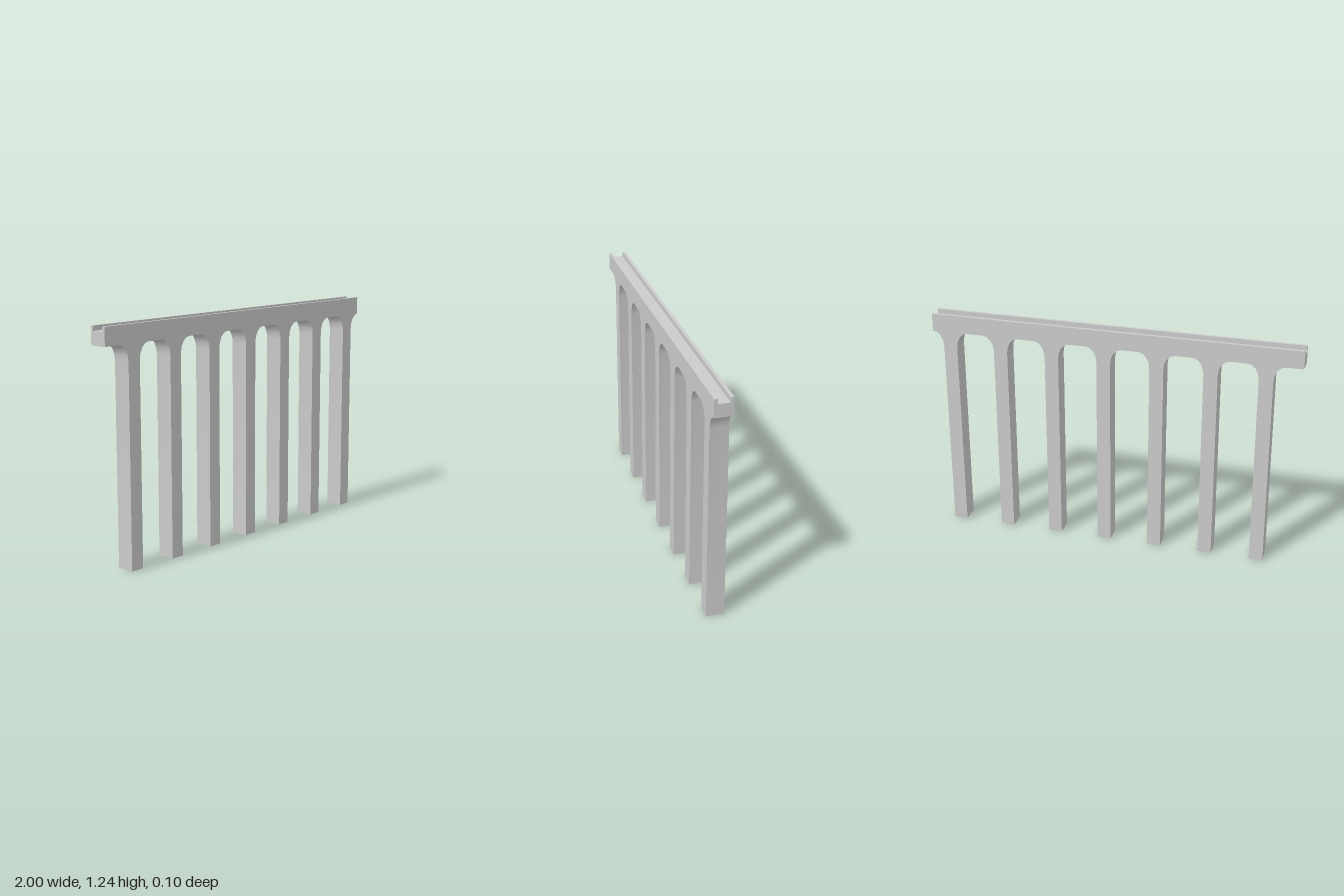
import * as THREE from 'three';
import { toCreasedNormals } from 'three/addons/utils/BufferGeometryUtils.js';

const LENGTH = 2, DEPTH = 0.096;
const UNDERSIDE = 1.14, DECK = 1.21, TOP = 1.236;
const PIERS = 7, SPACING = 0.2857, FIRST = -0.812, HALF_PIER = 0.0375;
const FILLET_X = 0.06, FILLET_Y = 0.085, STEPS = 4;

export function createModel() {
  const group = new THREE.Group();
  const material = new THREE.MeshStandardMaterial({ color: 0xcccccc });
  const add = (name, geometry, x, y, z) => {
    const mesh = new THREE.Mesh(geometry, material);
    mesh.name = name;
    mesh.position.set(x, y, z);
    group.add(mesh);
  };

  // Side outline: piers that flare into the beam with faceted fillets
  const outline = new THREE.Shape();
  outline.moveTo(-LENGTH / 2, DECK);
  outline.lineTo(-LENGTH / 2, UNDERSIDE);
  for (let i = 0; i < PIERS; i++) {
    const x = FIRST + i * SPACING;
    const fillet = (side, k) => {
      const a = (k / STEPS) * Math.PI / 2;
      outline.lineTo(
        x + side * (HALF_PIER + FILLET_X * (1 - Math.sin(a))),
        UNDERSIDE - FILLET_Y * (1 - Math.cos(a)));
    };
    for (let k = 0; k <= STEPS; k++) fillet(-1, k);
    outline.lineTo(x - HALF_PIER, 0);
    outline.lineTo(x + HALF_PIER, 0);
    for (let k = STEPS; k >= 0; k--) fillet(1, k);
  }
  outline.lineTo(LENGTH / 2, UNDERSIDE);
  outline.lineTo(LENGTH / 2, DECK);
  outline.closePath();

  const viaduct = new THREE.ExtrudeGeometry(outline, { depth: DEPTH, bevelEnabled: false });
  add('piersAndBeam', toCreasedNormals(viaduct, 0.6), 0, 0, -DEPTH / 2);

  // Kerbs along both edges, leaving a channel between them
  const kerb = 0.017, height = TOP - DECK;
  for (const [name, side] of [['frontKerb', 1], ['backKerb', -1]]) {
    add(name, new THREE.BoxGeometry(LENGTH, height, kerb),
      0, DECK + height / 2, side * (DEPTH - kerb) / 2);
  }
  return group;
}
